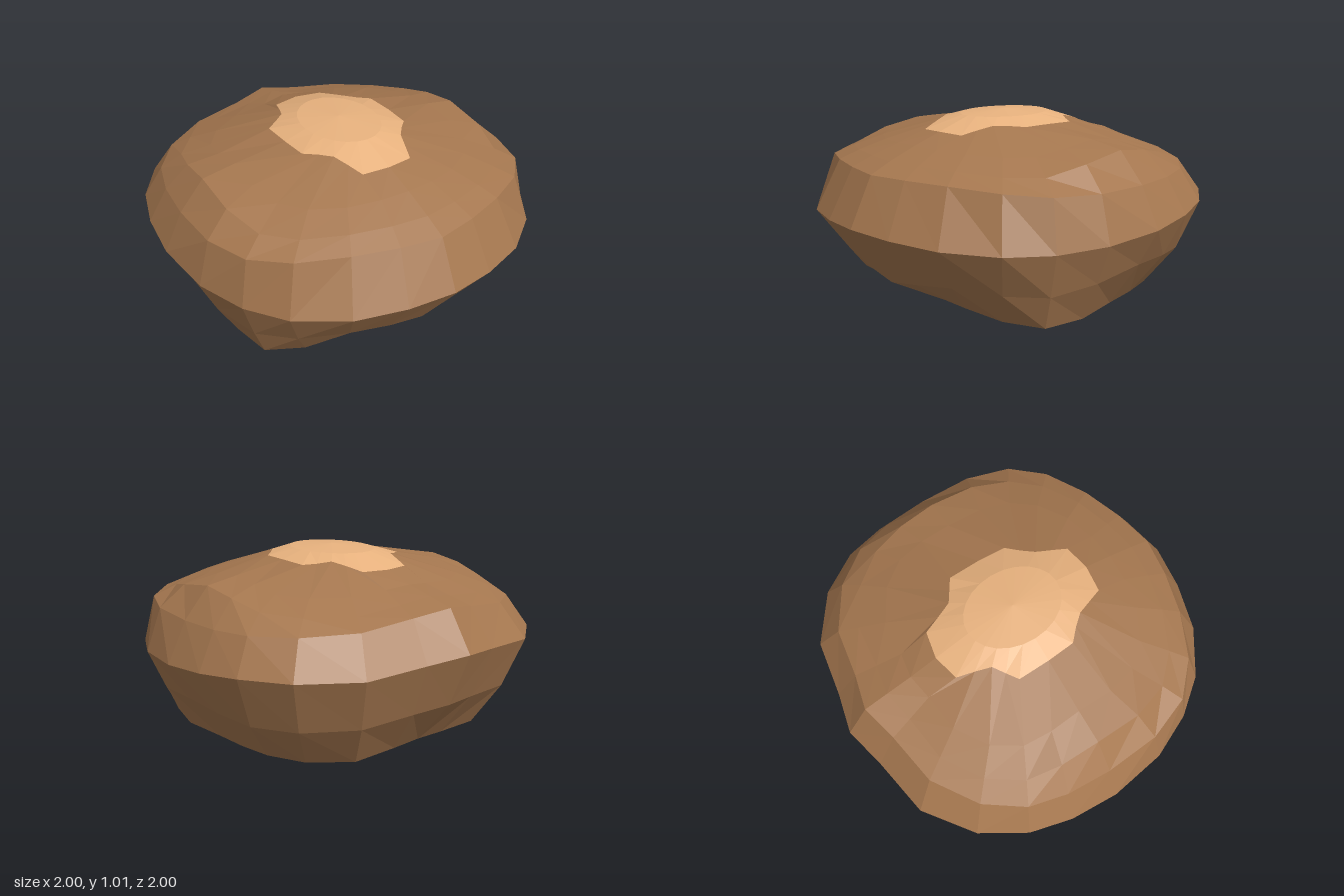
import * as THREE from 'three';

// Half outlines from front (+z) round the left side to the back; mirrored in x.
const outline = [[0, 0.995], [0.24, 0.96], [0.49, 0.88], [0.72, 0.72], [0.86, 0.53], [0.96, 0.29], [1, -0.02],
  [0.98, -0.28], [0.92, -0.5], [0.78, -0.72], [0.53, -0.9], [0.22, -0.95], [0, -1]];
const padEdge = [[0, 0.93, 0.45], [0.14, 0.925, 0.43], [0.17, 0.945, 0.35], [0.2, 0.962, 0.27], [0.25, 0.96, 0.21],
  [0.31, 0.955, 0.15], [0.32, 0.955, 0], [0.32, 0.95, -0.17], [0.26, 0.955, -0.21], [0.2, 0.965, -0.25],
  [0.17, 0.95, -0.33], [0.14, 0.93, -0.42], [0, 0.93, -0.45]];

// Ring keys: [scale of outline, height] at seven even steps from front to back.
const bodyKeys = [
  // crown
  [[0.61, 0.88], [0.63, 0.87], [0.65, 0.865], [0.6, 0.91], [0.64, 0.865], [0.62, 0.855], [0.6, 0.88]],
  // ridge
  [[0.76, 0.825], [0.77, 0.82], [0.82, 0.805], [0.77, 0.88], [0.79, 0.815], [0.76, 0.8], [0.74, 0.847]],
  // shoulder
  [[0.875, 0.775], [0.87, 0.775], [0.94, 0.745], [0.9, 0.73], [0.9, 0.735], [0.87, 0.757], [0.87, 0.815]],
  // widest rim
  [[1, 0.535], [1, 0.515], [1, 0.505], [1, 0.53], [1, 0.57], [1, 0.58], [1, 0.62]],
  // lower flank
  [[0.78, 0.22], [0.84, 0.29], [0.92, 0.28], [0.9, 0.34], [0.9, 0.31], [0.9, 0.32], [0.89, 0.35]],
  // bottom corner
  [[0.53, 0.09], [0.66, 0.12], [0.845, 0.1], [0.74, 0.1], [0.75, 0.105], [0.76, 0.1], [0.69, 0.11]],
  // foot
  [[0.25, 0.01], [0.33, 0.015], [0.45, 0.02], [0.53, 0.025], [0.47, 0.02], [0.38, 0.01], [0.33, 0.01]],
];

const ringFromKeys = (keys) => {
  const curve = new THREE.SplineCurve(keys.map(([s, y]) => new THREE.Vector2(s, y)));
  return outline.map(([x, z], i) => {
    const { x: s, y } = curve.getPoint(i / 12);
    return [x * s, y, z * s];
  });
};

const pole = (y) => outline.map(() => [0, y, 0]);

// Skins a stack of half rings, top to bottom, mirroring each to a full loop.
function skin(name, rings, color) {
  const positions = [];
  const index = [];
  rings.forEach((ring, r) => {
    for (let i = 0; i < 24; i++) {
      const [x, y, z] = ring[i <= 12 ? i : 24 - i];
      positions.push(i <= 12 ? x : -x, y, z);
      if (r === 0) continue;
      const next = (i + 1) % 24;
      const a = (r - 1) * 24 + i, b = r * 24 + i;
      const c = r * 24 + next, d = (r - 1) * 24 + next;
      // mirrored diagonals keep both halves alike
      index.push(...(i < 12 ? [a, b, c, a, c, d] : [a, b, d, d, b, c]));
    }
  });
  const geometry = new THREE.BufferGeometry();
  geometry.setAttribute('position', new THREE.Float32BufferAttribute(positions, 3));
  geometry.setIndex(index);
  geometry.computeVertexNormals();
  const mesh = new THREE.Mesh(geometry, new THREE.MeshStandardMaterial({ color, flatShading: true }));
  mesh.name = name;
  return mesh;
}

export function createModel() {
  const group = new THREE.Group();
  group.name = 'nut';

  // Brown shell, from the rim of the pale patch down to the flat base
  group.add(skin('shell', [padEdge, ...bodyKeys.map(ringFromKeys), pole(0)], 0xa5774f));

  // Pale raised patch on top, with an oval inner ring
  const padInner = outline.map((_, i) => {
    const angle = (i / 12) * Math.PI;
    return [0.2 * Math.sin(angle), 0.992, 0.26 * Math.cos(angle)];
  });
  group.add(skin('topPatch', [pole(1.01), padInner, padEdge], 0xe8b27e));

  return group;
}
